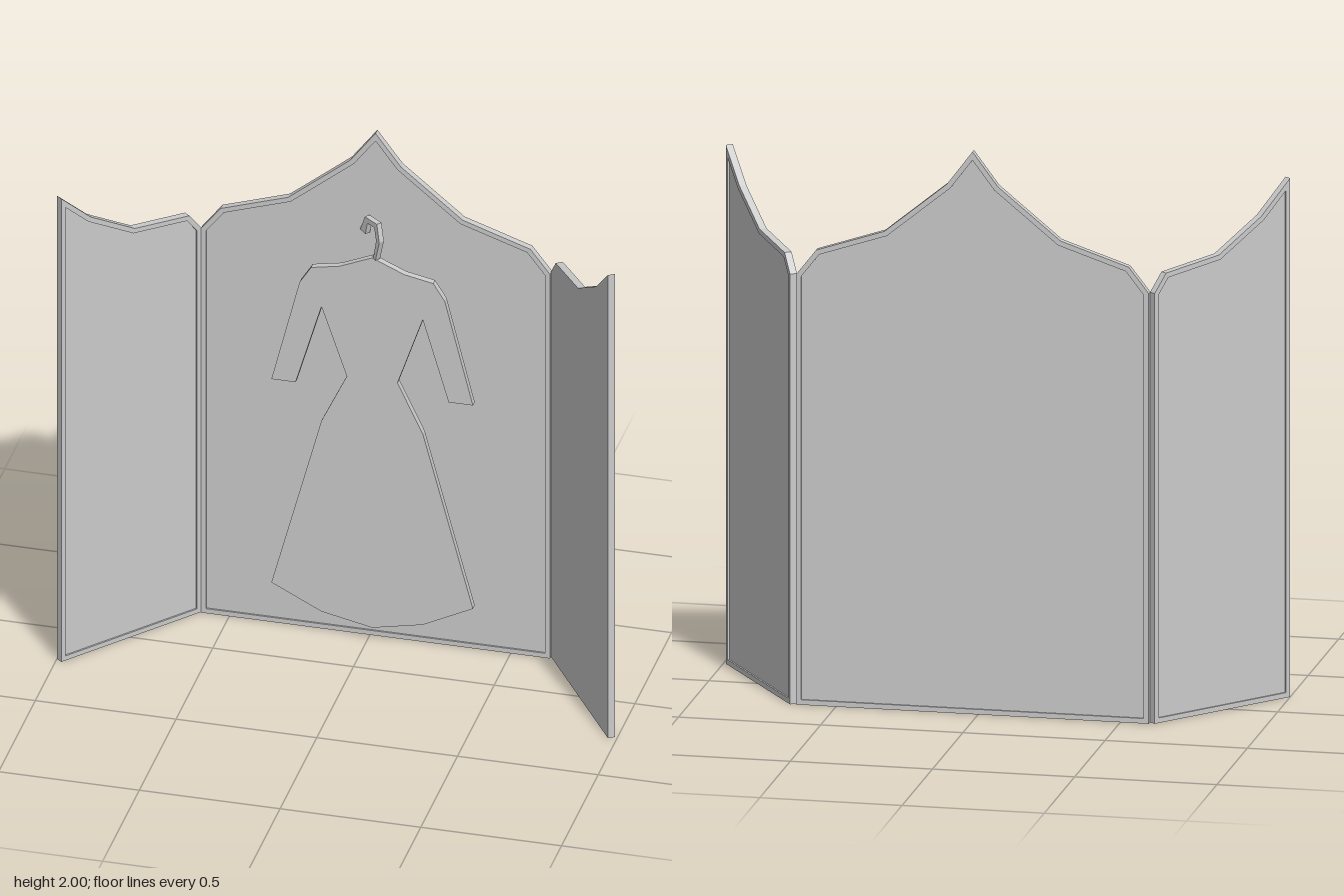
import * as THREE from 'three';

const THICK = 0.026, RIM = 0.018, RECESS = 0.006;
const material = new THREE.MeshStandardMaterial({ color: 0xcccccc, flatShading: true });

const toPoints = (pairs) => pairs.map(([x, y]) => new THREE.Vector2(x, y));

// Moves every edge of a counter-clockwise outline inwards by d
function inset(points, d) {
  const n = points.length;
  return points.map((p, i) => {
    const a = p.clone().sub(points[(i + n - 1) % n]).normalize();
    const b = points[(i + 1) % n].clone().sub(p).normalize();
    const na = new THREE.Vector2(-a.y, a.x), nb = new THREE.Vector2(-b.y, b.x);
    return p.clone().addScaledVector(na.clone().add(nb), d / (1 + na.dot(nb)));
  });
}

// Flat slab cut from an outline, spanning z0 to z1
function slab(name, points, z0, z1, hole) {
  const shape = new THREE.Shape(points);
  if (hole) shape.holes.push(new THREE.Path(hole));
  const geometry = new THREE.ExtrudeGeometry(shape, { depth: z1 - z0, bevelEnabled: false });
  geometry.translate(0, 0, z0);
  const mesh = new THREE.Mesh(geometry, material);
  mesh.name = name;
  return mesh;
}

// Screen leaf: a rim around a recessed panel, optionally flush on +z
function leaf(name, pairs, flushFront = false) {
  const outer = toPoints(pairs), inner = inset(outer, RIM), h = THICK / 2;
  const group = new THREE.Group();
  group.name = name;
  group.add(slab(name + 'Rim', outer, -h, h, inner));
  group.add(slab(name + 'Panel', inner, -h + RECESS, flushFront ? h : h - RECESS));
  return group;
}

// Mirrors a half outline (top centre first, clockwise down the +x side) into a full one
function mirrored(half) {
  const left = half.slice(1, -1).map(([x, y]) => [-x, y]);
  return [...left, ...half.slice(-1), ...half.slice(1, -1).reverse(), half[0]];
}

export function createModel() {
  const model = new THREE.Group();
  model.name = 'foldingScreen';

  // Centre leaf with a peaked top
  const centre = leaf('centreLeaf', mirrored([
    [0, 2], [0.09, 1.88], [0.31, 1.7], [0.55, 1.62], [0.62, 1.53], [0.62, 0], [0, 0],
  ]));
  centre.position.set(0.02, 0, -0.237);
  model.add(centre);

  // Side leaves, swept forwards from the hinges
  const wing = [[0, 0], [0.59, 0], [0.59, 1.845], [0.465, 1.73], [0.28, 1.622], [0.05, 1.595], [0, 1.53]];
  const left = leaf('leftLeaf', wing, true);
  left.position.set(0.65, 0, -0.245);
  left.rotation.y = -Math.atan2(0.828, 0.56);
  const right = leaf('rightLeaf', wing);
  right.position.set(-0.61, 0, -0.237);
  right.rotation.y = -Math.atan2(0.765, -0.644);
  model.add(left, right);

  // Dress hanging in front of the centre leaf
  const dress = slab('dress', toPoints(mirrored([
    [0, 1.535], [0.115, 1.485], [0.217, 1.465], [0.258, 1.4], [0.358, 1], [0.272, 1], [0.18, 1.315],
    [0.09, 1.05], [0.18, 0.86], [0.358, 0.19], [0.18, 0.1], [0, 0.062],
  ])), -0.195, -0.17);
  dress.position.x = 0.022;
  model.add(dress);

  // Hanger hook, turned towards the leaf behind
  const hook = slab('hangerHook', toPoints([
    [0.02, 1.53], [0.033, 1.53], [0.055, 1.61], [0.041, 1.677], [-0.026, 1.677], [-0.053, 1.615],
    [-0.024, 1.608], [-0.012, 1.657], [0.026, 1.657], [0.037, 1.61],
  ]), -0.01, 0.01);
  hook.position.set(0.015, 0, -0.193);
  hook.rotation.y = -0.66;
  model.add(hook);

  return model;
}
